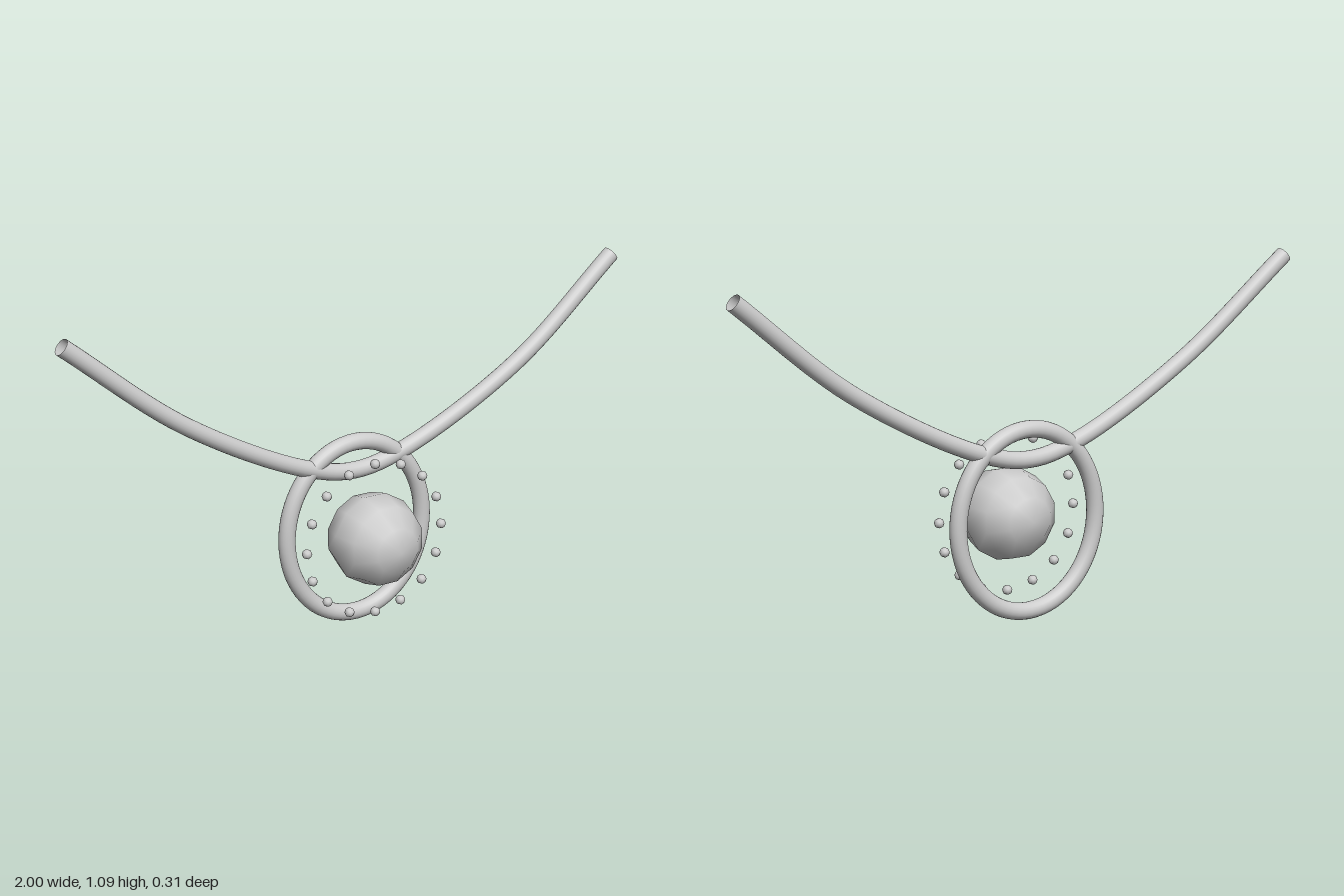
import * as THREE from 'three';

const TUBE_R = 0.027;
const CENTRE_Y = 0.315;
const BACK_Z = -0.117;

export function createModel() {
  const model = new THREE.Group();
  model.name = 'pendantNecklace';
  const metal = new THREE.MeshStandardMaterial({ color: 0xcccccc, side: THREE.DoubleSide });

  const add = (name, geometry, parent = model) => {
    const mesh = new THREE.Mesh(geometry, metal);
    mesh.name = name;
    parent.add(mesh);
    return mesh;
  };

  // Necklace: a mirrored, open-ended tube that bows forward on each side
  const half = [
    [0.983, 1.068, -0.117],
    [0.6, 0.765, -0.103],
    [0.18, 0.546, -0.115],
  ];
  const chainPoints = [
    ...half.map(([x, y, z]) => new THREE.Vector3(-x, y, z)),
    new THREE.Vector3(0, 0.507, -0.118),
    ...half.slice().reverse().map(([x, y, z]) => new THREE.Vector3(x, y, z)),
  ];
  add('necklaceBand', new THREE.TubeGeometry(
    new THREE.CatmullRomCurve3(chainPoints), 80, TUBE_R, 20, false));

  // Oval ring the band passes through
  const ovalPoints = Array.from({ length: 24 }, (_, i) => {
    const a = (i / 24) * Math.PI * 2;
    return new THREE.Vector3(0.25 * Math.cos(a), CENTRE_Y + 0.286 * Math.sin(a), BACK_Z);
  });
  add('pendantRing', new THREE.TubeGeometry(
    new THREE.CatmullRomCurve3(ovalPoints, true), 72, TUBE_R, 20, true));

  // Central stone: coarse sphere with its poles front and back
  const stone = new THREE.SphereGeometry(0.153, 12, 6);
  stone.rotateY(Math.PI / 12).rotateX(Math.PI / 2).scale(0.975, 0.975, 1);
  add('centreStone', stone).position.set(0, CENTRE_Y, 0);

  // Circle of small beads around the stone
  const beads = new THREE.Group();
  beads.name = 'beadCircle';
  model.add(beads);
  const beadGeometry = new THREE.SphereGeometry(0.016, 8, 6).rotateX(Math.PI / 2);
  for (let i = 0; i < 16; i++) {
    const a = (i / 16) * Math.PI * 2;
    add('bead', beadGeometry, beads)
      .position.set(0.247 * Math.cos(a), CENTRE_Y + 0.247 * Math.sin(a), 0);
  }

  return model;
}
